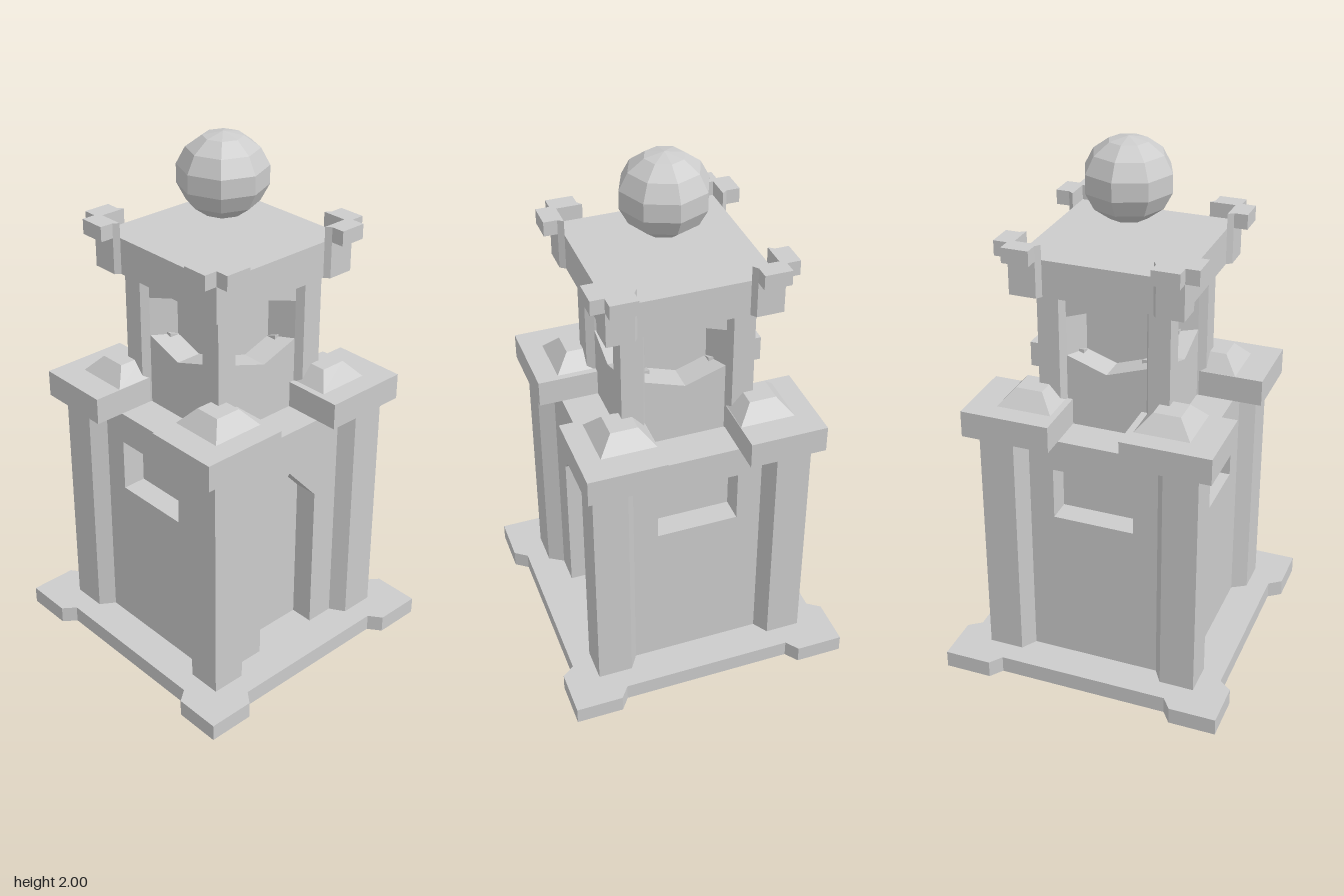
import * as THREE from 'three';

const mat = new THREE.MeshStandardMaterial({ color: 0xcccccc, flatShading: true });

const outline = (pts) => new THREE.Shape(pts.map(([x, y]) => new THREE.Vector2(x, y)));

function add(parent, name, geo) {
  const mesh = new THREE.Mesh(geo, mat);
  mesh.name = name;
  parent.add(mesh);
  return mesh;
}

// Plan outline raised from y0 to y1
function slab(pts, y0, y1) {
  const geo = new THREE.ExtrudeGeometry(outline(pts), { depth: y1 - y0, bevelEnabled: false });
  return geo.rotateX(-Math.PI / 2).translate(0, y0, 0);
}

// Upright panel in the xy plane between two z depths
function panel(shape, z0, z1) {
  return new THREE.ExtrudeGeometry(shape, { depth: z1 - z0, bevelEnabled: false }).translate(0, 0, z0);
}

function box(x0, x1, y0, y1, z0, z1) {
  return new THREE.BoxGeometry(x1 - x0, y1 - y0, z1 - z0)
    .translate((x0 + x1) / 2, (y0 + y1) / 2, (z0 + z1) / 2);
}

// Square plan with projecting, chamfered corners
function corneredSquare(outer, inner, a, b) {
  const pts = [];
  for (let k = 0; k < 4; k++) {
    const c = Math.round(Math.cos(k * Math.PI / 2)), s = Math.round(Math.sin(k * Math.PI / 2));
    for (const [x, y] of [[inner, b], [outer, a], [outer, outer], [a, outer], [b, inner]]) {
      pts.push([x * c - y * s, x * s + y * c]);
    }
  }
  return pts;
}

// Four-sided frustum on a square base
function frustum(bottom, top, height) {
  return new THREE.CylinderGeometry(top / Math.SQRT2, bottom / Math.SQRT2, height, 4, 1)
    .rotateY(Math.PI / 4);
}

export function createModel() {
  const model = new THREE.Group();
  model.name = 'tower';

  // Stepped base and solid cores
  add(model, 'base', slab(corneredSquare(0.537, 0.49, 0.36, 0.325), 0, 0.065));
  add(model, 'lowerCore', box(-0.265, 0.265, 0.065, 0.98, -0.265, 0.265));
  add(model, 'upperCore', box(-0.115, 0.115, 0.98, 1.5, -0.115, 0.115));

  // Wall outlines: a pointed doorway in front, a square window elsewhere
  const doorWall = outline([
    [-0.265, 0.065], [-0.135, 0.065], [-0.135, 0.66], [0, 0.81], [0.135, 0.66],
    [0.135, 0.065], [0.265, 0.065], [0.265, 0.98], [-0.265, 0.98],
  ]);
  const windowWall = outline([[-0.265, 0.065], [0.265, 0.065], [0.265, 0.98], [-0.265, 0.98]]);
  windowWall.holes.push(outline([[-0.153, 0.66], [-0.153, 0.86], [0.153, 0.86], [0.153, 0.66]]));

  // Belfry panels below and above each six-sided niche
  const sill = outline([[-0.155, 0.98], [0.155, 0.98], [0.155, 1.253], [0, 1.2], [-0.155, 1.253]]);
  const lintel = outline([[-0.155, 1.5], [-0.155, 1.398], [0, 1.45], [0.155, 1.398], [0.155, 1.5]]);

  // Corner plans
  const pillarPlan = [[0.2, 0.2], [0.355, 0.245], [0.41, 0.28], [0.41, 0.41], [0.28, 0.41], [0.245, 0.355]];
  const postPlan = [[0.114, 0.114], [0.215, 0.15], [0.245, 0.165], [0.245, 0.245], [0.165, 0.245], [0.15, 0.215]];
  const merlonPlan = [
    [0.295, 0.295], [0.295, 0.2], [0.315, 0.215], [0.365, 0.215], [0.365, 0.315], [0.315, 0.315],
    [0.315, 0.365], [0.215, 0.365], [0.215, 0.315], [0.2, 0.295],
  ];

  for (let k = 0; k < 4; k++) {
    const side = new THREE.Group();
    side.name = ['frontSide', 'leftSide', 'backSide', 'rightSide'][k];
    side.rotation.y = k * Math.PI / 2;
    model.add(side);
    add(side, 'wall', panel(k === 0 ? doorWall : windowWall, 0.265, 0.355));
    add(side, 'nicheSill', panel(sill, 0.11, 0.215));
    add(side, 'nicheLintel', panel(lintel, 0.11, 0.215));
    add(side, 'cornerPillar', slab(pillarPlan, 0.065, 0.98));
    add(side, 'belfryPost', slab(postPlan, 0.98, 1.5));
    add(side, 'merlon', slab(merlonPlan, 1.635, 1.69));
  }

  // Pillar caps with low pyramids
  for (const sx of [-1, 1]) {
    for (const sz of [-1, 1]) {
      const cap = add(model, 'pillarCap', new THREE.BoxGeometry(0.333, 0.1, 0.287));
      cap.position.set(sx * 0.2975, 1.03, sz * 0.2965);
      const pyramid = add(model, 'capPyramid', frustum(0.205, 0.1, 0.06));
      pyramid.position.set(sx * 0.2575, 1.11, sz * 0.2575);
    }
  }

  // Roof collar and floating ball
  add(model, 'roofCollar', slab(corneredSquare(0.315, 0.295, 0.215, 0.2), 1.5, 1.635));
  const ball = add(model, 'ball', new THREE.SphereGeometry(1, 8, 7));
  ball.scale.set(0.164, 0.15, 0.164);
  ball.position.y = 1.85;

  return model;
}
